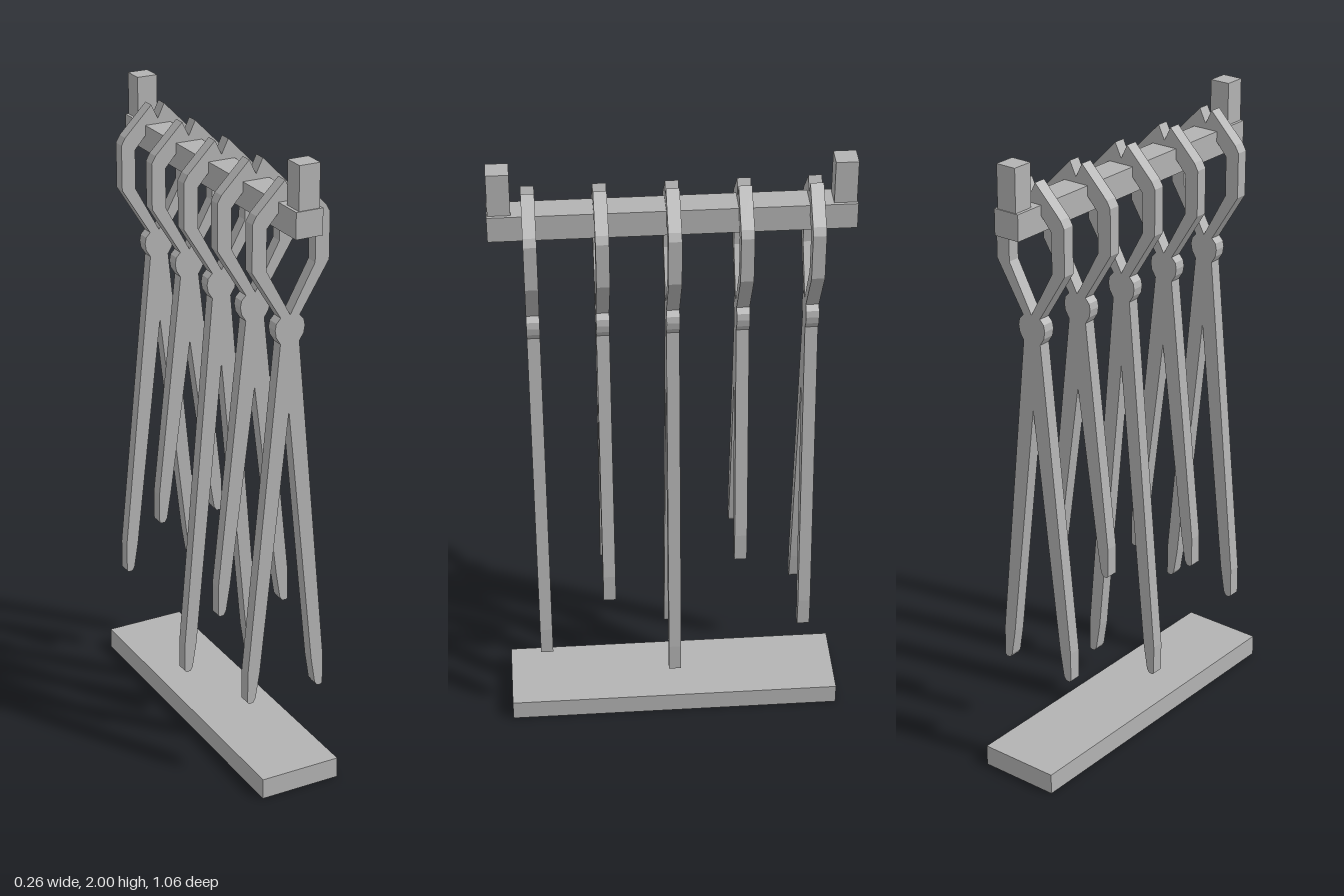
import * as THREE from 'three';

export function createModel() {
  const group = new THREE.Group();
  const grey = new THREE.MeshStandardMaterial({ color: 0xb3b3b3 });
  grey.name = 'plain grey';

  const box = (name, w, h, d, y, z = 0) => {
    const mesh = new THREE.Mesh(new THREE.BoxGeometry(w, h, d), grey);
    mesh.name = name;
    mesh.position.set(0, y, z);
    group.add(mesh);
  };

  // Base slab, hanging bar and the end posts above it
  box('base', 0.262, 0.067, 1.062, 0.0335);
  box('hangingBar', 0.086, 0.08, 1.062, 1.828);
  for (const s of [-1, 1]) box('endPost', 0.066, 0.135, 0.066, 1.9325, s * 0.495);

  // Tongs: a symmetric outline with an open loop on top, a pivot bulge and two legs
  const thickness = 0.039;
  const makeTongs = (tipX, tipY, z) => {
    const half = [
      [0.022, 1.93], [0.112, 1.838], [0.125, 1.815], [0.125, 1.672], [0.031, 1.52],
      [0.045, 1.505], [0.049, 1.485], [0.045, 1.462], [0.031, 1.44],
      [tipX, tipY + 0.1], [tipX, tipY + 0.005], [tipX - 0.006, tipY],
      [tipX - 0.019, tipY + 0.001], [tipX - 0.027, tipY + 0.014],
      [tipX - 0.041, tipY + 0.1],
    ];
    const mirrored = half.slice().reverse().map(([x, y]) => [-x, y]);
    const points = [[0, 1.885], [0.005, 1.895], ...half, [0, 1.225], ...mirrored, [-0.005, 1.895]];
    const shape = new THREE.Shape(points.map(([x, y]) => new THREE.Vector2(x, y)));
    const loop = [
      [0, 1.525], [0.079, 1.67], [0.079, 1.795], [0.035, 1.845],
      [-0.035, 1.845], [-0.079, 1.795], [-0.079, 1.67],
    ];
    shape.holes.push(new THREE.Path(loop.map(([x, y]) => new THREE.Vector2(x, y))));
    const geometry = new THREE.ExtrudeGeometry(shape, { depth: thickness, bevelEnabled: false });
    const mesh = new THREE.Mesh(geometry, grey);
    mesh.name = 'tongs';
    mesh.position.z = z - thickness / 2;
    group.add(mesh);
  };

  // Five sizes along the bar: leg tip x, leg tip y, z
  for (const [x, y, z] of [
    [0.131, 0.28, 0.412],
    [0.122, 0.48, 0.207],
    [0.131, 0.18, 0],
    [0.112, 0.615, -0.207],
    [0.131, 0.35, -0.412],
  ]) makeTongs(x, y, z);

  return group;
}
